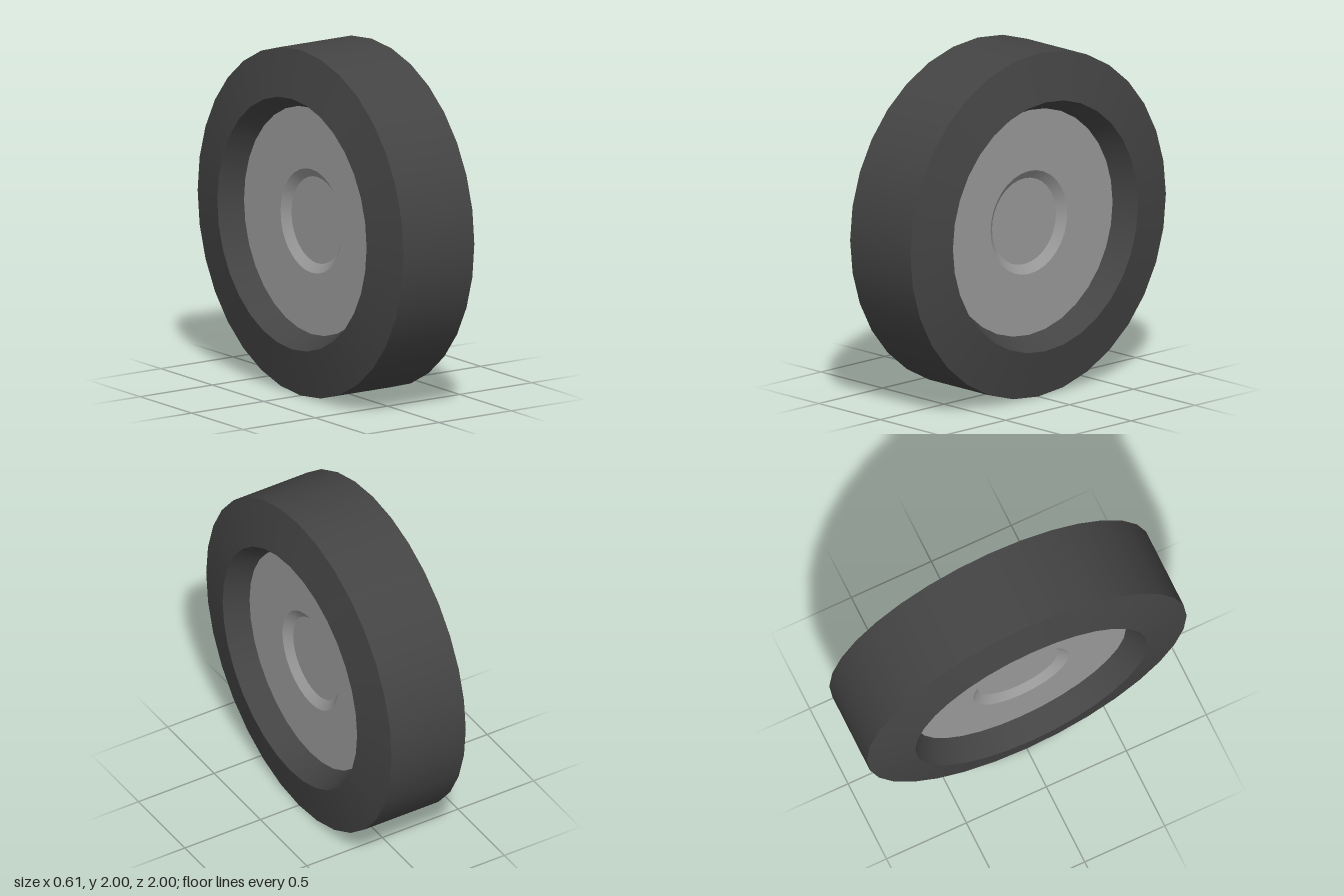
import * as THREE from 'three';

const SIDES = 32;

// One ring of surface between two profile points [radius, distance along the axle]
function ring(name, from, to, material) {
  const points = [from, to].map(([r, d]) => new THREE.Vector2(r, d));
  const geometry = new THREE.LatheGeometry(points, SIDES);
  geometry.rotateZ(-Math.PI / 2);
  const mesh = new THREE.Mesh(geometry, material);
  mesh.name = name;
  return mesh;
}

export function createModel() {
  const rubber = new THREE.MeshStandardMaterial({ color: 0x444444 });
  rubber.name = 'dark rubber';
  const metal = new THREE.MeshStandardMaterial({ color: 0x999999 });
  metal.name = 'grey metal';

  const wheel = new THREE.Group();
  wheel.name = 'wheel';
  wheel.add(ring('tread', [1, -0.245], [1, 0.245], rubber));

  // Both faces of the wheel are alike: sloped sidewall, sunken disc, dished hub
  for (const [label, turn] of [['left', 0], ['right', Math.PI]]) {
    const face = new THREE.Group();
    face.name = label + 'Face';
    face.add(
      ring('sidewall', [1, 0.245], [0.725, 0.305], rubber),
      ring('innerWall', [0.725, 0.305], [0.655, 0.17], rubber),
      ring('rimDisc', [0.655, 0.17], [0.3, 0.17], metal),
      ring('hubBevel', [0.3, 0.17], [0.25, 0.13], metal),
      ring('hubFloor', [0.25, 0.13], [0, 0.13], metal),
    );
    face.rotation.y = turn;
    wheel.add(face);
  }

  wheel.position.y = 1;
  const model = new THREE.Group();
  model.name = 'wheelModel';
  model.add(wheel);
  return model;
}
